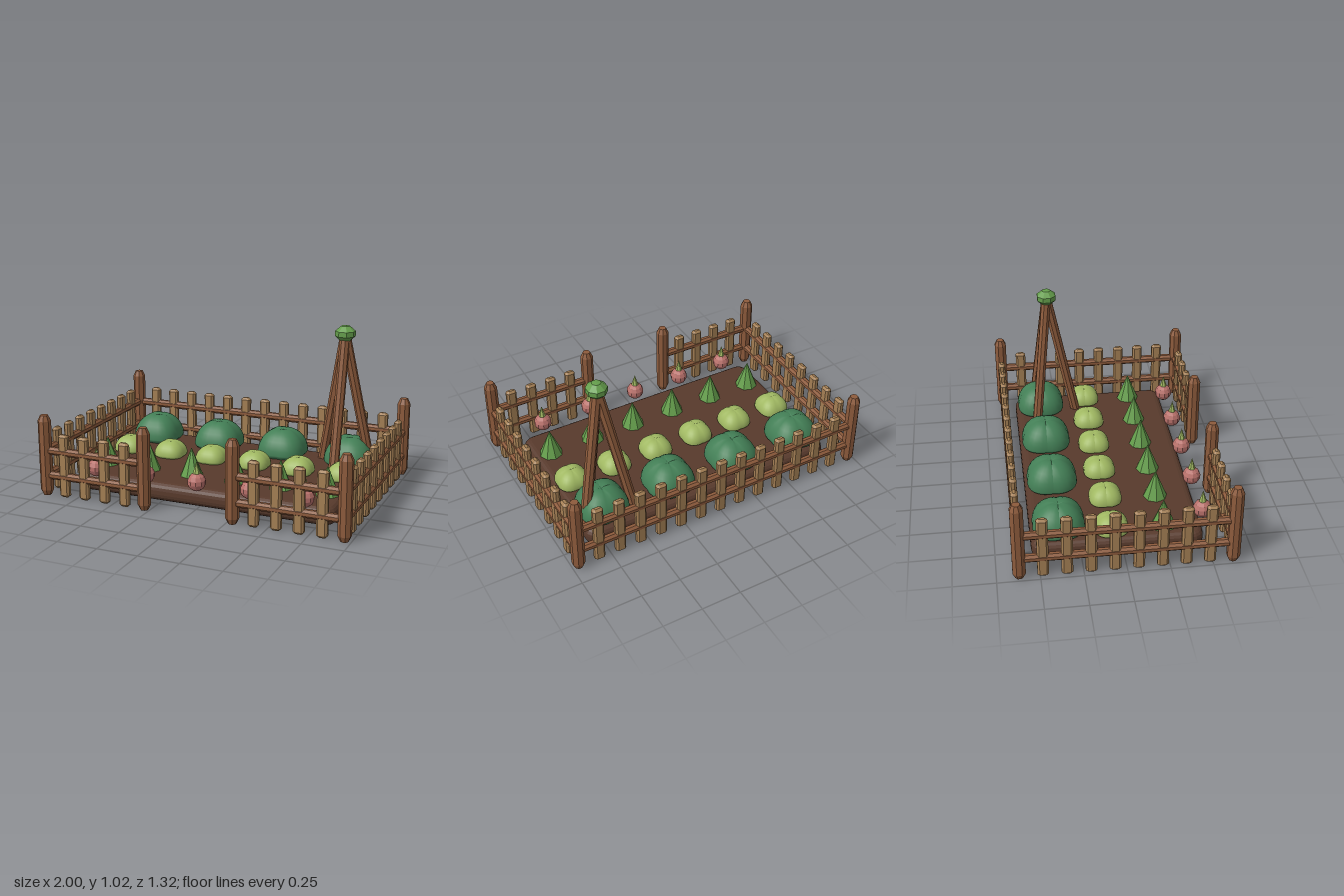
import * as THREE from 'three';

const mat = (name, color) => {
  const m = new THREE.MeshStandardMaterial({ color });
  m.name = name;
  return m;
};

// Gives a geometry faceted normals
const flat = (g) => {
  const f = g.index ? g.toNonIndexed() : g;
  f.computeVertexNormals();
  return f;
};

const lathe = (points, sides) =>
  flat(new THREE.LatheGeometry(points.map(([r, y]) => new THREE.Vector2(r, y)), sides, Math.PI / sides));

// Round log with chamfered ends, from y = 0 to y = length
const log = (r, length, chamfer) => lathe([
  [0, 0], [r * 0.6, 0], [r, chamfer], [r, length - chamfer], [r * 0.6, length], [0, length],
], 8);

// Rounded rectangle centred on the origin
function roundedRect(w, h, r) {
  const s = new THREE.Shape(), x = w / 2, y = h / 2;
  s.moveTo(-x + r, -y);
  s.lineTo(x - r, -y); s.quadraticCurveTo(x, -y, x, -y + r);
  s.lineTo(x, y - r); s.quadraticCurveTo(x, y, x - r, y);
  s.lineTo(-x + r, y); s.quadraticCurveTo(-x, y, -x, y - r);
  s.lineTo(-x, -y + r); s.quadraticCurveTo(-x, -y, -x + r, -y);
  return s;
}

// Upright slab with bevelled edges, standing on y = 0
function slab(w, h, d, corner, bevel, steps) {
  const g = new THREE.ExtrudeGeometry(roundedRect(w - 2 * bevel, d - 2 * bevel, corner), {
    depth: h - 2 * bevel, bevelEnabled: true, bevelThickness: bevel, bevelSize: bevel,
    bevelSegments: steps, curveSegments: steps,
  });
  return flat(g.rotateX(-Math.PI / 2).translate(0, bevel, 0));
}

// Leafy head: a squarish dome with four seams and a small dent on top
function leafHead(radius, up, down) {
  const g = new THREE.SphereGeometry(1, 32, 16);
  const p = g.attributes.position;
  for (let i = 0; i < p.count; i++) {
    const x = p.getX(i), y = p.getY(i), z = p.getZ(i);
    const a = Math.atan2(z, x);
    const c = Math.abs(Math.cos(a)), s = Math.abs(Math.sin(a));
    const ring = Math.hypot(x, z);
    const seam = Math.min(c, s) < 0.05 ? 0.975 : 1;
    const square = Math.pow(c ** 2.8 + s ** 2.8, -1 / 2.8) * seam;
    const dent = y > 0 ? 1 - 0.08 * Math.max(0, 1 - ring / 0.3) : 1;
    p.setXYZ(i, x * square * radius, y * dent * seam * (y > 0 ? up : down), z * square * radius);
  }
  g.computeVertexNormals();
  return g;
}

export function createModel() {
  const model = new THREE.Group();
  model.name = 'vegetableGarden';

  const wood = mat('brownWood', 0x8d5b3c);
  const paleWood = mat('paleWood', 0xa47f54);
  const soil = mat('soil', 0x583a2c);
  const darkLeaf = mat('darkLeaf', 0x437f56);
  const limeLeaf = mat('limeLeaf', 0xa0b862);
  const leaf = mat('leafGreen', 0x659e4c);
  const pink = mat('radishPink', 0xb8706a);

  const group = (name, parent = model) => {
    const g = new THREE.Group();
    g.name = name;
    parent.add(g);
    return g;
  };
  const add = (parent, name, geometry, material, x = 0, y = 0, z = 0) => {
    const m = new THREE.Mesh(geometry, material);
    m.name = name;
    m.position.set(x, y, z);
    parent.add(m);
    return m;
  };

  // Soil bed
  add(model, 'soilBed', slab(1.69, 0.115, 1.015, 0.03, 0.045, 4), soil, 0, 0, -0.032);

  // Fence: corner and gate posts
  const fence = group('fence');
  const X = 0.96, Z = 0.62, GATE = 0.285;
  const postGeo = log(0.041, 0.51, 0.035);
  for (const [x, z] of [[-X, -Z], [X, -Z], [-X, Z], [X, Z], [-GATE, Z], [GATE, Z]]) {
    add(fence, 'fencePost', postGeo, wood, x, 0, z);
  }

  // Fence panels: two rails and a row of pickets along local x
  const picketGeo = slab(0.066, 0.4, 0.044, 0.004, 0.014, 1);
  function panel(name, length, count, spacing, x, z, turn) {
    const g = group(name, fence);
    g.position.set(x, 0, z);
    g.rotation.y = turn;
    const railLength = length - 0.04;
    const railGeo = log(0.026, railLength, 0.012).rotateZ(-Math.PI / 2).translate(-railLength / 2, 0, 0);
    for (const y of [0.13, 0.288]) add(g, 'rail', railGeo, wood, 0, y, 0);
    for (let i = 0; i < count; i++) {
      add(g, 'picket', picketGeo, paleWood, (i - (count - 1) / 2) * spacing, 0, 0);
    }
  }
  panel('backPanel', 2 * X, 13, 0.1375, 0, -Z, 0);
  for (const side of [-1, 1]) {
    panel('sidePanel', 2 * Z, 8, 0.138, side * X, 0, Math.PI / 2);
    panel('frontPanel', X - GATE, 4, 0.138, side * (X + GATE) / 2, Z, 0);
  }

  // Four cabbages in the back row
  const cabbages = group('cabbages');
  const cabbageGeo = leafHead(0.155, 0.155, 0.05);
  for (const x of [-0.68, -0.227, 0.227, 0.68]) {
    add(cabbages, 'cabbage', cabbageGeo, darkLeaf, x, 0.145, -0.37);
  }

  // Lettuces and leafy cones, six to a row
  const lettuces = group('lettuces'), sprouts = group('sprouts');
  const lettuceGeo = leafHead(0.1, 0.09, 0.035);
  const coneGeo = flat(new THREE.ConeGeometry(0.077, 0.19, 8));
  for (let i = 0; i < 6; i++) {
    const x = -0.735 + i * 0.294;
    add(lettuces, 'lettuce', lettuceGeo, limeLeaf, x, 0.132, 0.063 - 0.126);
    add(sprouts, 'leafyCone', coneGeo, leaf, x, 0.2, 0.245);
  }

  // Radishes with pointed tops along the front
  const radishes = group('radishes');
  const rootGeo = flat(new THREE.SphereGeometry(0.057, 10, 7));
  const tipGeo = flat(new THREE.ConeGeometry(0.026, 0.085, 6));
  for (let i = -2; i <= 2; i++) {
    add(radishes, 'radishRoot', rootGeo, pink, i * 0.34, 0.172, 0.49);
    add(radishes, 'radishTop', tipGeo, limeLeaf, i * 0.34, 0.257, 0.49);
  }

  // Three-legged plant support with a leafy knob
  const support = group('plantSupport');
  const apex = new THREE.Vector3(0.648, 0.965, -0.31);
  for (const [x, z] of [[0.485, -0.41], [0.815, -0.41], [0.648, -0.127]]) {
    const foot = new THREE.Vector3(x, 0.075, z);
    const along = apex.clone().sub(foot);
    const leg = add(support, 'supportLeg', log(0.032, along.length(), 0.012), wood, x, 0.075, z);
    leg.quaternion.setFromUnitVectors(new THREE.Vector3(0, 1, 0), along.normalize());
  }
  const knobGeo = lathe([[0, -0.05], [0.032, -0.047], [0.064, -0.016], [0.064, 0.016], [0.028, 0.047], [0, 0.05]], 8);
  add(support, 'supportKnob', knobGeo, leaf, 0.648, 0.97, -0.31);

  return model;
}
